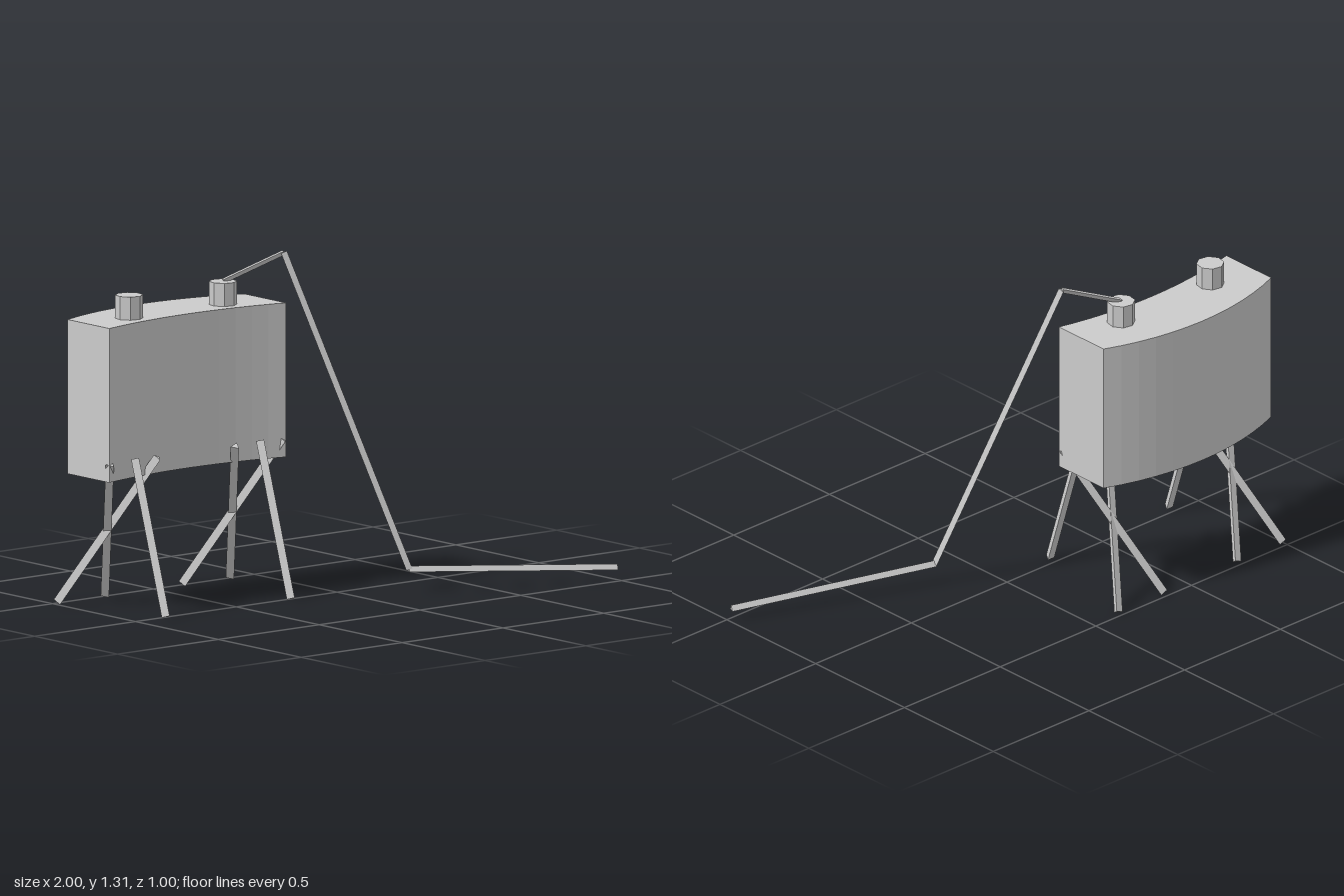
import * as THREE from 'three';

const grey = new THREE.MeshStandardMaterial({ color: 0xcccccc, flatShading: true });
const vec = (a) => new THREE.Vector3(...a);

// Three-sided rod between two points; its ridge leans towards the hint direction
function rod(name, from, to, radius, hint) {
  const a = vec(from), b = vec(to);
  const dir = b.clone().sub(a);
  const length = dir.length();
  dir.normalize();
  const ridge = vec(hint).addScaledVector(dir, -vec(hint).dot(dir)).normalize();
  const side = new THREE.Vector3().crossVectors(dir, ridge);
  const mesh = new THREE.Mesh(new THREE.CylinderGeometry(radius, radius, length, 3), grey);
  mesh.quaternion.setFromRotationMatrix(new THREE.Matrix4().makeBasis(side, dir, ridge));
  mesh.position.copy(a).add(b).multiplyScalar(0.5);
  mesh.name = name;
  return mesh;
}

// Points along a shallow arc across the tank: z at the ends and in the middle
function arc(zEnd, zMid, half, steps) {
  const sag = Math.abs(zEnd - zMid);
  const r = (half * half + sag * sag) / (2 * sag);
  const sweep = Math.asin(half / r);
  return Array.from({ length: steps + 1 }, (_, i) => {
    const t = sweep * (2 * i / steps - 1);
    return new THREE.Vector2(r * Math.sin(t), -(zMid + r * (1 - Math.cos(t))));
  });
}

export function createModel() {
  const model = new THREE.Group();
  model.name = 'tankOnTripods';
  const cx = -0.56;

  // Curved tank, extruded upwards from its plan
  const front = arc(-0.16, -0.215, 0.438, 12);
  const back = arc(-0.412, -0.498, 0.438, 12).reverse();
  const tankGeo = new THREE.ExtrudeGeometry(new THREE.Shape([...front, ...back]), {
    depth: 0.6, bevelEnabled: false,
  });
  tankGeo.rotateX(-Math.PI / 2);
  const tank = new THREE.Mesh(tankGeo, grey);
  tank.position.set(cx, 0.52, 0);
  tank.name = 'tank';
  model.add(tank);

  for (const s of [-1, 1]) {
    // Filler cap
    const cap = new THREE.Mesh(new THREE.CylinderGeometry(0.054, 0.054, 0.1, 8), grey);
    cap.position.set(cx + s * 0.233, 1.16, -0.29);
    cap.rotation.y = 0.2;
    cap.name = 'cap';
    model.add(cap);

    // Tripod: one leg forwards, two crossing towards the back
    const tripod = new THREE.Group();
    tripod.name = 'tripod';
    const x = cx + s * 0.31;
    tripod.add(rod('frontLeg', [x, 0.6, -0.155], [x, 0.01, 0.03], 0.019, [0, 0, 1]));
    for (const k of [-1, 1]) {
      tripod.add(rod('backLeg', [x - k * 0.118, 0.59, -0.165], [x + k * 0.118, 0.01, -0.482], 0.019, [0, 0, 1]));
    }
    model.add(tripod);
  }

  // Hose from one cap, over the tank edge and out along the ground
  const path = [[-0.325, 1.212, -0.29], [-0.095, 1.307, -0.208], [0.212, 0.09, 0.175], [0.99, 0.052, 0.486]];
  const hose = new THREE.Group();
  hose.name = 'hose';
  for (let i = 0; i < 3; i++) {
    hose.add(rod('hoseSection', path[i], path[i + 1], i ? 0.0145 : 0.012, [0, i ? 1 : -1, 0]));
  }
  model.add(hose);

  return model;
}
